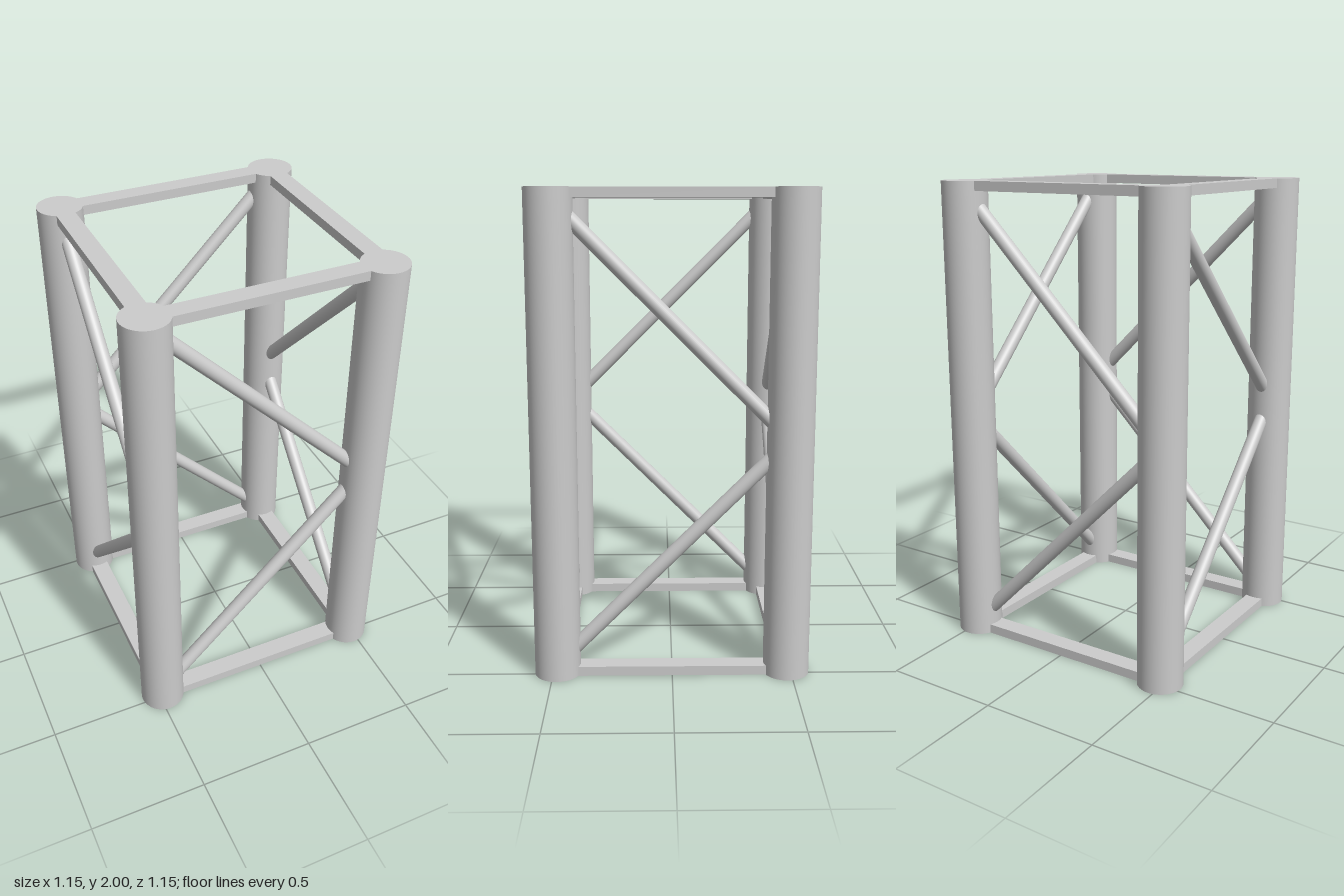
import * as THREE from 'three';

const HEIGHT = 2;
const HALF = 0.48;          // post axis distance from the centre
const POST_R = 0.096;
const BEAM_W = 0.08, BEAM_H = 0.04;
const BRACE_R = 0.03;

export function createModel() {
  const group = new THREE.Group();
  group.name = 'trussSegment';
  const material = new THREE.MeshStandardMaterial({ color: 0xcccccc });

  const add = (parent, name, geometry, x, y, z) => {
    const mesh = new THREE.Mesh(geometry, material);
    mesh.name = name;
    mesh.position.set(x, y, z);
    parent.add(mesh);
    return mesh;
  };

  const bay = HEIGHT / 2 - BEAM_H;   // height of one braced bay
  const postGeo = new THREE.CylinderGeometry(POST_R, POST_R, HEIGHT, 48);
  const beamGeo = new THREE.BoxGeometry(2 * HALF - POST_R, BEAM_H, BEAM_W);
  const braceGeo = new THREE.CylinderGeometry(BRACE_R, BRACE_R, Math.hypot(2 * HALF, bay), 32);
  const lean = Math.atan2(2 * HALF, bay);

  // Four identical sides, each turned a quarter turn about the vertical axis
  for (let i = 0; i < 4; i++) {
    const side = new THREE.Group();
    side.name = `side${i + 1}`;
    side.rotation.y = i * Math.PI / 2;
    group.add(side);

    // Corner post
    add(side, 'post', postGeo, HALF, HEIGHT / 2, HALF);

    // Flat beams flush with the post ends
    add(side, 'bottomBeam', beamGeo, 0, BEAM_H / 2, HALF);
    add(side, 'topBeam', beamGeo, 0, HEIGHT - BEAM_H / 2, HALF);

    // Zigzag diagonals, one per bay
    add(side, 'lowerBrace', braceGeo, 0, BEAM_H + bay / 2, HALF).rotation.z = -lean;
    add(side, 'upperBrace', braceGeo, 0, HEIGHT - BEAM_H - bay / 2, HALF).rotation.z = lean;
  }
  return group;
}
